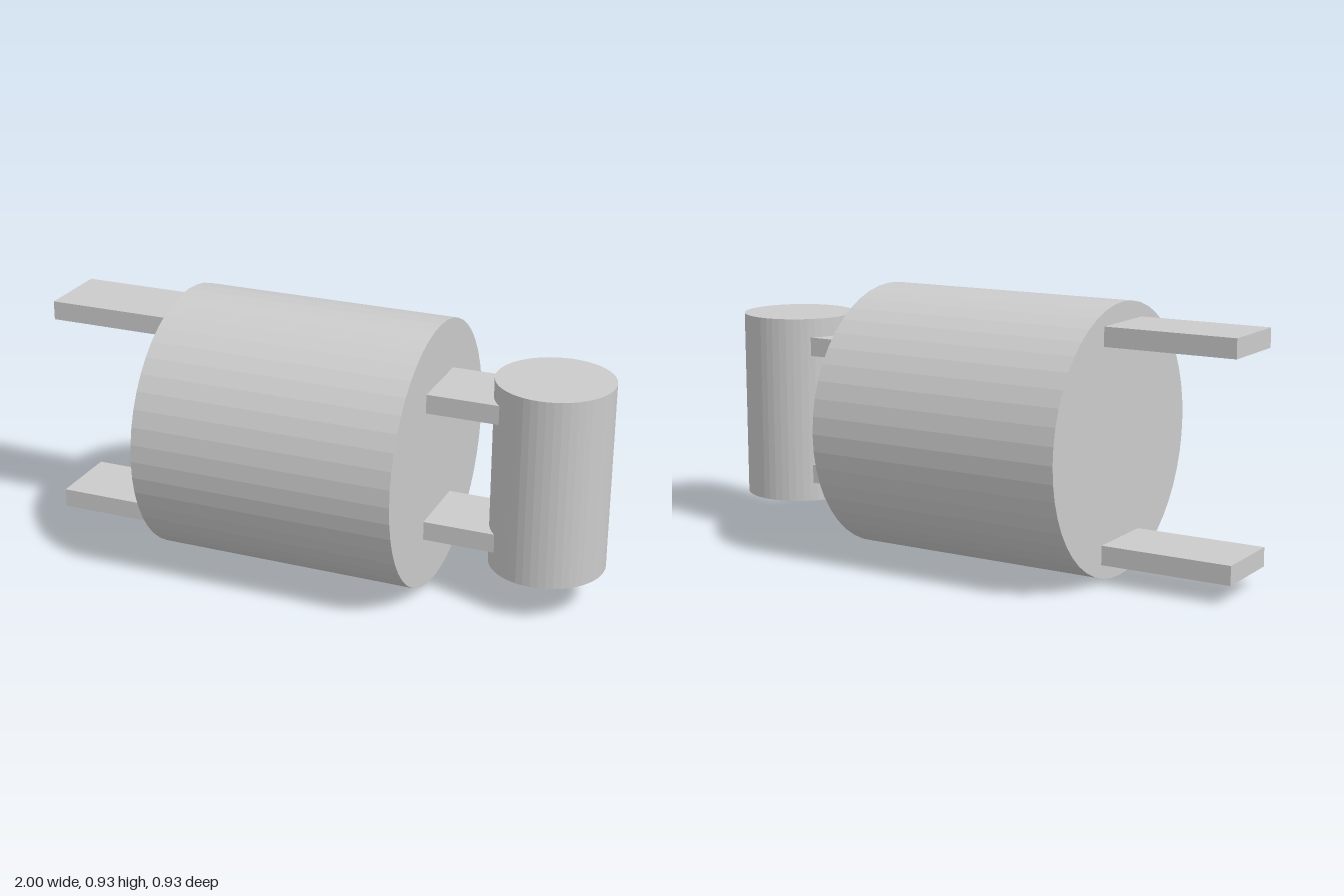
import * as THREE from 'three';

export function createModel() {
  const group = new THREE.Group();
  const material = new THREE.MeshStandardMaterial({ color: 0xcccccc, flatShading: true });
  const u = 1 / 15; // base module of all dimensions

  const add = (name, geometry, x, y) => {
    const mesh = new THREE.Mesh(geometry, material);
    mesh.name = name;
    mesh.position.set(x * u, y * u, 0);
    group.add(mesh);
    return mesh;
  };

  // Flat bar running along x between two ends, centred on height y
  const bar = (name, x0, x1, y) =>
    add(name, new THREE.BoxGeometry((x1 - x0) * u, u, 4 * u), (x0 + x1) / 2, y);

  // Large drum lying along x
  const drum = add('drum', new THREE.CylinderGeometry(7 * u, 7 * u, 14 * u, 48), -1, 7);
  drum.rotation.z = Math.PI / 2;

  // Upright cylinder beside the drum
  add('uprightCylinder', new THREE.CylinderGeometry(3 * u, 3 * u, 10 * u, 48), 12, 7);

  // Mirrored pairs of bars above and below the drum axis
  for (const [side, s] of [['upper', 1], ['lower', -1]]) {
    bar(side + 'EndBar', -15, -7.5, 7 + s * 5.5);
    bar(side + 'LinkBar', 5.5, 11, 7 + s * 3.5);
  }

  return group;
}
